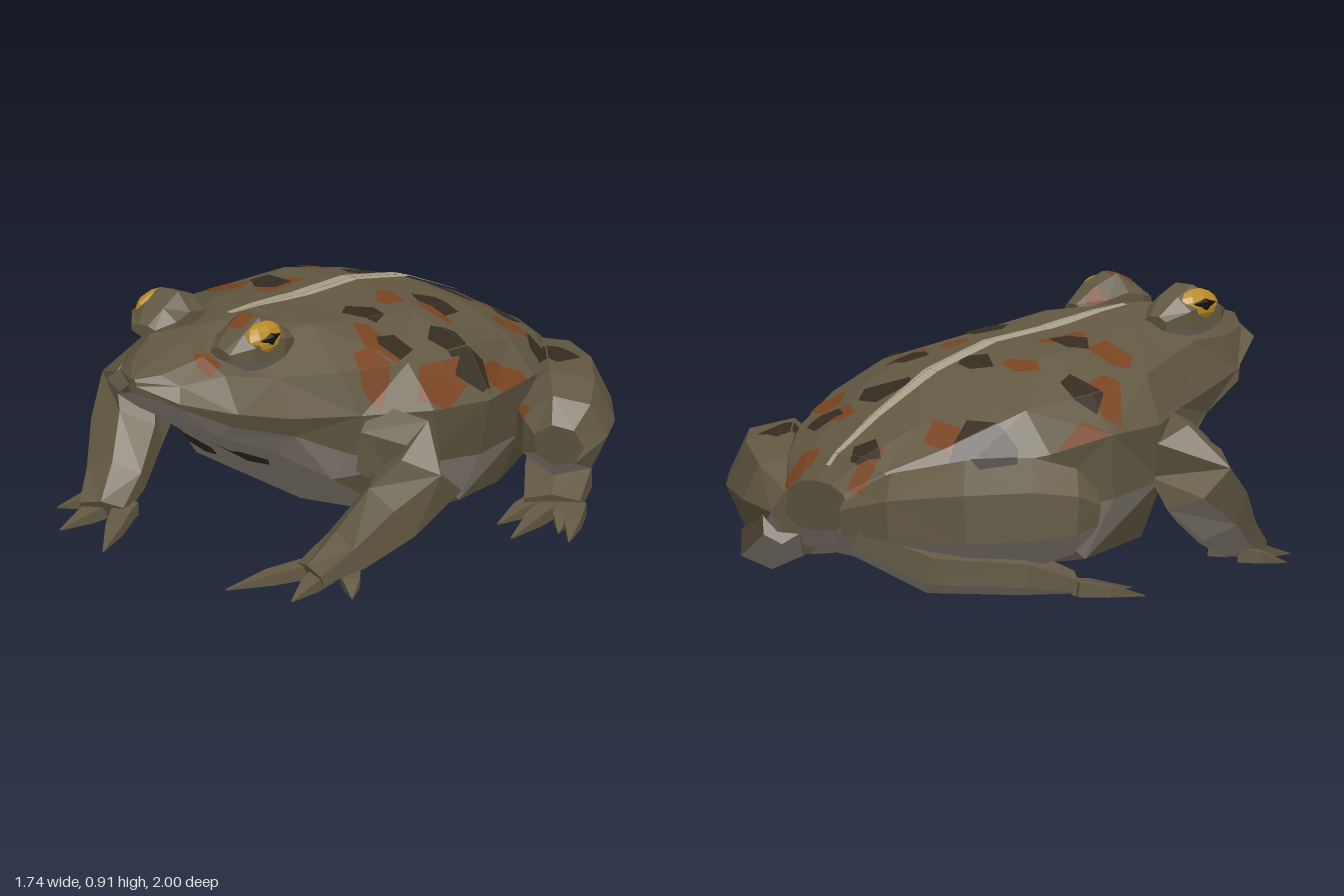
import * as THREE from 'three';

const mat = (name, color) => {
  const m = new THREE.MeshStandardMaterial({ color, flatShading: true });
  m.name = name;
  return m;
};
const V = (x, y, z) => new THREE.Vector3(x, y, z);

export function createModel() {
  const skin = mat('olive skin', 0x625842);
  const belly = mat('grey belly', 0x948b7f);
  const dark = mat('dark blotch', 0x352c20);
  const rust = mat('rust blotch', 0x78431f);
  const pale = mat('pale stripe', 0xa89f88);
  const gold = mat('gold iris', 0xb88a20);
  const black = mat('black pupil', 0x15110c);

  const model = new THREE.Group();
  model.name = 'toad';
  let seed = 7;
  const rand = () => (seed = (seed * 16807) % 2147483647) / 2147483647;
  const add = (parent, name, geo, material) => {
    const mesh = new THREE.Mesh(geo, material);
    mesh.name = name;
    parent.add(mesh);
    return mesh;
  };
  const fromTriangles = (tris) =>
    new THREE.BufferGeometry().setFromPoints(tris.flat());
  const normalOf = (t) => new THREE.Triangle(...t).getNormal(V(0, 0, 0));

  // Skins a row of rings; faces that look down go to the second (belly) group
  function loft(rings) {
    const tris = [];
    const n = rings[0].length;
    const centre = (r) => r.reduce((s, p) => s.add(p), V(0, 0, 0)).divideScalar(n);
    const first = rings[0], last = rings[rings.length - 1];
    const c0 = centre(first), c1 = centre(last);
    for (let j = 0; j < n; j++) {
      const k = (j + 1) % n;
      tris.push([c0, first[k], first[j]], [c1, last[j], last[k]]);
      for (let i = 0; i + 1 < rings.length; i++) {
        const a = rings[i][j], b = rings[i][k], c = rings[i + 1][k], d = rings[i + 1][j];
        if ((i + j) % 2) tris.push([a, b, c], [a, c, d]);
        else tris.push([a, b, d], [b, c, d]);
      }
    }
    const under = tris.filter((t) => normalOf(t).y < -0.45);
    const upper = tris.filter((t) => normalOf(t).y >= -0.45);
    const geo = fromTriangles([...upper, ...under]);
    geo.addGroup(0, upper.length * 3, 0);
    geo.addGroup(upper.length * 3, under.length * 3, 1);
    geo.computeVertexNormals();
    return { geo, tris };
  }

  // Tapered limb along points [x, y, z, half width, half height]
  function limb(path, sides) {
    const pts = path.map((p) => V(p[0], p[1], p[2]));
    return loft(path.map((p, i) => {
      const d = pts[Math.min(i + 1, pts.length - 1)].clone()
        .sub(pts[Math.max(i - 1, 0)]).normalize();
      const side = d.clone().cross(V(0, 1, 0)).normalize();
      const up = side.clone().cross(d);
      return Array.from({ length: sides }, (_, j) => {
        const a = -(j + 0.5) / sides * Math.PI * 2;
        return pts[i].clone().addScaledVector(side, Math.cos(a) * p[3])
          .addScaledVector(up, Math.sin(a) * p[4]);
      });
    }));
  }

  // Body sections: z, top, half width, y of widest line, bottom, bottom half width
  const sections = [
    [0.995, 0.765, 0.015, 0.74, 0.71, 0.01],
    [0.91, 0.79, 0.16, 0.7, 0.63, 0.08],
    [0.76, 0.82, 0.26, 0.63, 0.53, 0.17],
    [0.56, 0.845, 0.34, 0.57, 0.41, 0.27],
    [0.35, 0.83, 0.45, 0.54, 0.26, 0.36],
    [0.12, 0.8, 0.57, 0.53, 0.07, 0.43],
    [-0.15, 0.78, 0.61, 0.51, 0.04, 0.47],
    [-0.42, 0.71, 0.55, 0.47, 0.05, 0.45],
    [-0.68, 0.58, 0.42, 0.42, 0.09, 0.34],
    [-0.86, 0.47, 0.29, 0.36, 0.16, 0.22],
    [-0.95, 0.39, 0.16, 0.31, 0.22, 0.1],
  ];
  const body = loft(sections.map(([z, top, w, mid, low, bw], i) => {
    const h = top - mid, g = mid - low;
    const half = [[0, top], [0.46 * w, top - 0.1 * h], [0.83 * w, top - 0.42 * h],
      [w, mid], [0.95 * w, mid - 0.45 * g], [bw, low + 0.1 * g], [0, low]];
    const ring = [...half, ...half.slice(1, 6).reverse().map(([x, y]) => [-x, y])];
    const j = i > 0 && i < 10 ? 0.035 : 0;
    return ring.map(([x, y]) => V(x + (x ? (rand() - 0.5) * j : 0),
      y + (x ? (rand() - 0.5) * j : 0), z + (x ? (rand() - 0.5) * j * 1.6 : 0)));
  }));
  add(model, 'body', body.geo, [skin, belly]);
  const painted = [...body.tris];

  for (const s of [1, -1]) {
    const label = s > 0 ? 'left' : 'right';
    const part = (parent, name, path, sides) => {
      const l = limb(path.map(([x, ...r]) => [x * s, ...r]), sides);
      add(parent, name, l.geo, [skin, belly]);
      return l.tris;
    };
    // Each toe: root point, then tip
    const toes = (parent, list) => list.forEach(([x0, z0, x, z]) =>
      part(parent, 'toe', [[x0, 0.05, z0, 0.05, 0.035],
        [x0 + (x - x0) * 0.45, 0.04, z0 + (z - z0) * 0.45, 0.042, 0.028],
        [x, 0.02, z, 0.003, 0.003]], 4));

    // Front leg
    const front = new THREE.Group();
    front.name = label + 'FrontLeg';
    model.add(front);
    part(front, 'arm', [[0.42, 0.43, 0.26, 0.13, 0.14], [0.57, 0.41, 0.2, 0.12, 0.13],
      [0.62, 0.34, 0.22, 0.14, 0.15], [0.58, 0.23, 0.34, 0.13, 0.13],
      [0.51, 0.12, 0.48, 0.11, 0.085], [0.46, 0.06, 0.61, 0.09, 0.035]], 6);
    toes(front, [[0.4, 0.57, 0.27, 0.83], [0.48, 0.56, 0.51, 0.77],
      [0.54, 0.5, 0.65, 0.62], [0.42, 0.52, 0.36, 0.66]]);

    // Folded hind leg and long foot
    const hind = new THREE.Group();
    hind.name = label + 'HindLeg';
    model.add(hind);
    painted.push(...part(hind, 'thigh', [[0.12, 0.27, -0.89, 0.12, 0.09],
      [0.27, 0.29, -0.83, 0.15, 0.15], [0.46, 0.3, -0.68, 0.18, 0.19],
      [0.61, 0.31, -0.52, 0.18, 0.19], [0.7, 0.31, -0.42, 0.15, 0.15],
      [0.73, 0.3, -0.36, 0.09, 0.08]], 7));
    part(hind, 'foot', [[0.19, 0.22, -0.93, 0.07, 0.07], [0.39, 0.12, -0.78, 0.12, 0.09],
      [0.58, 0.1, -0.54, 0.13, 0.08], [0.67, 0.06, -0.4, 0.11, 0.04]], 6);
    toes(hind, [[0.74, -0.44, 0.87, -0.25], [0.66, -0.42, 0.7, -0.15],
      [0.7, -0.43, 0.79, -0.29], [0.6, -0.42, 0.58, -0.22]]);

    // Low brow mound with a tilted iris and slit pupil
    const eye = new THREE.Group();
    eye.name = label + 'Eye';
    eye.position.set(0.18 * s, 0.83, 0.6);
    model.add(eye);
    part(model, 'browMound', [[0.17, 0.82, 0.74, 0.05, 0.02], [0.18, 0.82, 0.67, 0.1, 0.07],
      [0.18, 0.82, 0.6, 0.1, 0.11], [0.19, 0.81, 0.52, 0.1, 0.085],
      [0.2, 0.8, 0.44, 0.05, 0.03]], 8).forEach((t) => painted.push(t));
    const ball = (name, geo, x, y, size, m) => {
      const b = add(eye, name, geo, m);
      b.position.set(x * s, y, 0);
      b.scale.set(...size);
      b.rotation.z = 0.4 * s;
    };
    ball('iris', new THREE.SphereGeometry(1, 10, 8), 0.06, 0.027, [0.042, 0.055, 0.085], gold);
    for (const [x, y, r] of [[0.072, 0.031, 0.82], [0.085, 0.036, 0.6]]) {
      ball('irisLine', new THREE.TorusGeometry(1, 0.035, 4, 14).rotateY(Math.PI / 2),
        x, y, [0.05, 0.053 * r, 0.082 * r], dark);
    }
    ball('pupil', new THREE.OctahedronGeometry(1, 0), 0.094, 0.034, [0.016, 0.026, 0.052], black);
  }

  // Cuts a convex outline in x, z out of the skin faces and lifts it slightly
  function paint(name, outline, material, sign = 1, lift = 0.004) {
    const out = [];
    for (const tri of painted) {
      const n = normalOf(tri);
      if (n.y * sign < 0.06) continue;
      let poly = tri;
      outline.forEach(([ax, az], i) => {
        const [bx, bz] = outline[(i + 1) % outline.length];
        const side = (p) => (bx - ax) * (p.z - az) - (bz - az) * (p.x - ax);
        poly = poly.flatMap((p, k) => {
          const q = poly[(k + 1) % poly.length], sp = side(p), sq = side(q);
          const res = sp >= 0 ? [p] : [];
          if (sp >= 0 !== sq >= 0) res.push(p.clone().lerp(q, sp / (sp - sq)));
          return res;
        });
      });
      const up = poly.map((p) => p.clone().addScaledVector(n, lift));
      for (let k = 1; k + 1 < up.length; k++) out.push([up[0], up[k], up[k + 1]]);
    }
    const geo = fromTriangles(out);
    geo.computeVertexNormals();
    add(model, name, geo, material);
  }
  const blotch = (x, z, rx, rz) => Array.from({ length: 5 }, (_, i) => {
    const a = (i + rand() * 0.7) / 5 * Math.PI * 2;
    return [x + Math.cos(a) * rx, z + Math.sin(a) * rz];
  });

  // Back blotches: x, z, half sizes
  [[-0.16, -0.87, 0.04, 0.08], [0.12, -0.9, 0.05, 0.08], [-0.3, -0.65, 0.09, 0.06],
    [0.18, -0.66, 0.07, 0.05], [0.34, -0.57, 0.07, 0.08], [-0.25, -0.23, 0.08, 0.05],
    [0.16, -0.14, 0.06, 0.07], [0.29, -0.23, 0.08, 0.04], [-0.49, -0.08, 0.09, 0.09],
    [-0.14, 0.06, 0.04, 0.12], [-0.32, 0.11, 0.11, 0.07], [0.36, 0.15, 0.1, 0.06],
    [0.42, 0.24, 0.07, 0.07], [0.1, 0.48, 0.08, 0.03], [0.16, 0.62, 0.05, 0.05],
    [0.14, 0.77, 0.06, 0.04], [0.57, -0.27, 0.05, 0.14], [-0.58, -0.27, 0.04, 0.12],
    [0.54, 0.02, 0.06, 0.13],
  ].forEach((b) => paint('rustBlotch', blotch(...b), rust));
  [[-0.12, -0.82, 0.07, 0.06], [0.23, -0.68, 0.07, 0.06], [0.1, -0.53, 0.1, 0.08],
    [-0.1, -0.29, 0.08, 0.06], [0.25, -0.29, 0.1, 0.06], [-0.46, -0.15, 0.08, 0.07],
    [0.45, -0.11, 0.08, 0.07], [-0.2, 0.05, 0.08, 0.08], [0.22, 0.06, 0.07, 0.08],
    [0.4, 0.1, 0.07, 0.06], [0.55, -0.12, 0.05, 0.08], [0.47, -0.64, 0.1, 0.09],
    [-0.47, -0.6, 0.15, 0.12],
  ].forEach((b) => paint('darkBlotch', blotch(...b), dark, 1, 0.006));

  // Belly blotches
  [[0.03, 0.44, 0.13, 0.05], [-0.33, 0.27, 0.08, 0.06], [-0.25, -0.25, 0.1, 0.18],
  ].forEach((b) => paint('bellyBlotch', blotch(...b), dark, -1));

  // Pale stripe down the spine
  paint('spineStripe', [[-0.02, -0.9], [-0.002, -0.9], [0.02, -0.4], [0.02, 0.2],
    [0.002, 0.48], [-0.022, 0.48], [-0.042, 0.2], [-0.042, -0.4]], pale, 1, 0.008);

  return model;
}
